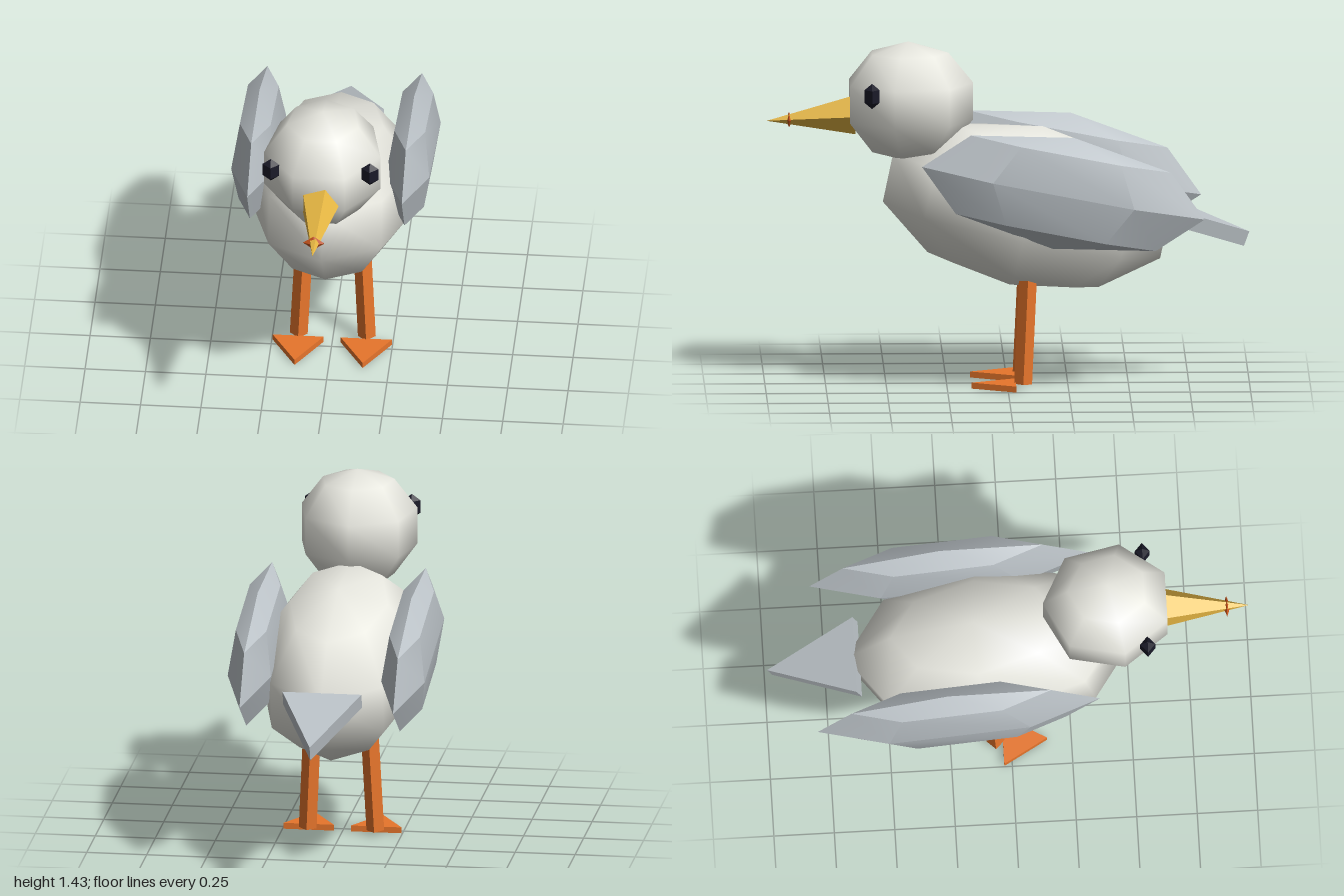
import * as THREE from 'three';
import { toCreasedNormals } from 'three/addons/utils/BufferGeometryUtils.js';

const paint = (name, color) => {
  const m = new THREE.MeshStandardMaterial({ color });
  m.name = name;
  return m;
};

export function createModel() {
  const bird = new THREE.Group();
  bird.name = 'bird';
  const white = paint('offWhiteFeathers', 0xe8e8e0);
  const grey = paint('greyFeathers', 0xbac1c6);
  const gold = paint('goldBeak', 0xe8b844);
  const rust = paint('beakMark', 0xc8541c);
  const orange = paint('orangeLegs', 0xe8762c);
  const dark = paint('darkEyes', 0x1a1a28);

  const add = (name, geometry, material, [x, y, z], tilt = 0) => {
    const mesh = new THREE.Mesh(geometry, material);
    mesh.name = name;
    mesh.position.set(x, y, z);
    mesh.rotation.x = tilt;
    bird.add(mesh);
    return mesh;
  };
  // Low-poly ellipsoid with one column of corners facing -z
  const ellipsoid = (sides, rows, rx, ry, rz) =>
    new THREE.SphereGeometry(1, sides, rows).rotateY(-Math.PI / 2).scale(rx, ry, rz);
  const crisp = (geometry) => toCreasedNormals(geometry, 0.5);

  // Body and head
  add('body', ellipsoid(8, 5, 0.347, 0.338, 0.615), white, [0, 0.742, -0.081], -0.207);
  add('head', ellipsoid(7, 5, 0.26, 0.25, 0.282), white, [0, 1.18, 0.408]);

  // Beak: five-sided cone pointing forward and slightly down, with a mark near its tip
  const beak = new THREE.ConeGeometry(0.085, 0.362, 5).rotateY(Math.PI / 2).rotateX(Math.PI / 2);
  add('beak', crisp(beak), gold, [0.002, 1.114, 0.812], 0.075);
  add('beakMark', new THREE.OctahedronGeometry(1).scale(0.045, 0.032, 0.016), rust, [0, 1.105, 0.9]);

  // Tail: flat triangular wedge, point to the back
  const tail = new THREE.CylinderGeometry(0.19, 0.19, 0.065, 3).rotateY(Math.PI).scale(1, 1, 1.35);
  add('tail', crisp(tail), grey, [0, 0.688, -0.748], -0.35);

  for (const side of [1, -1]) {
    const label = side > 0 ? 'left' : 'right';

    add(label + 'Wing', crisp(ellipsoid(6, 4, 0.104, 0.236, 0.594)), grey,
      [side * 0.32, 0.845, -0.225], -0.19);
    add(label + 'Eye', crisp(ellipsoid(4, 3, 0.041, 0.053, 0.036)), dark,
      [side * 0.205, 1.234, 0.562]);

    // Leg leaning slightly out and forward
    const top = new THREE.Vector3(side * 0.119, 0.47, -0.084);
    const foot = new THREE.Vector3(side * 0.141, 0.018, -0.063);
    const leg = add(label + 'Leg',
      crisp(new THREE.CylinderGeometry(0.037, 0.037, top.distanceTo(foot), 4)), orange,
      top.clone().add(foot).multiplyScalar(0.5).toArray());
    leg.quaternion.setFromUnitVectors(new THREE.Vector3(0, 1, 0), top.clone().sub(foot).normalize());

    // Webbed foot, point to the front
    add(label + 'Foot', crisp(new THREE.CylinderGeometry(0.122, 0.122, 0.025, 3)), orange,
      [side * 0.141, 0.0125, 0.028]);
  }
  return bird;
}
